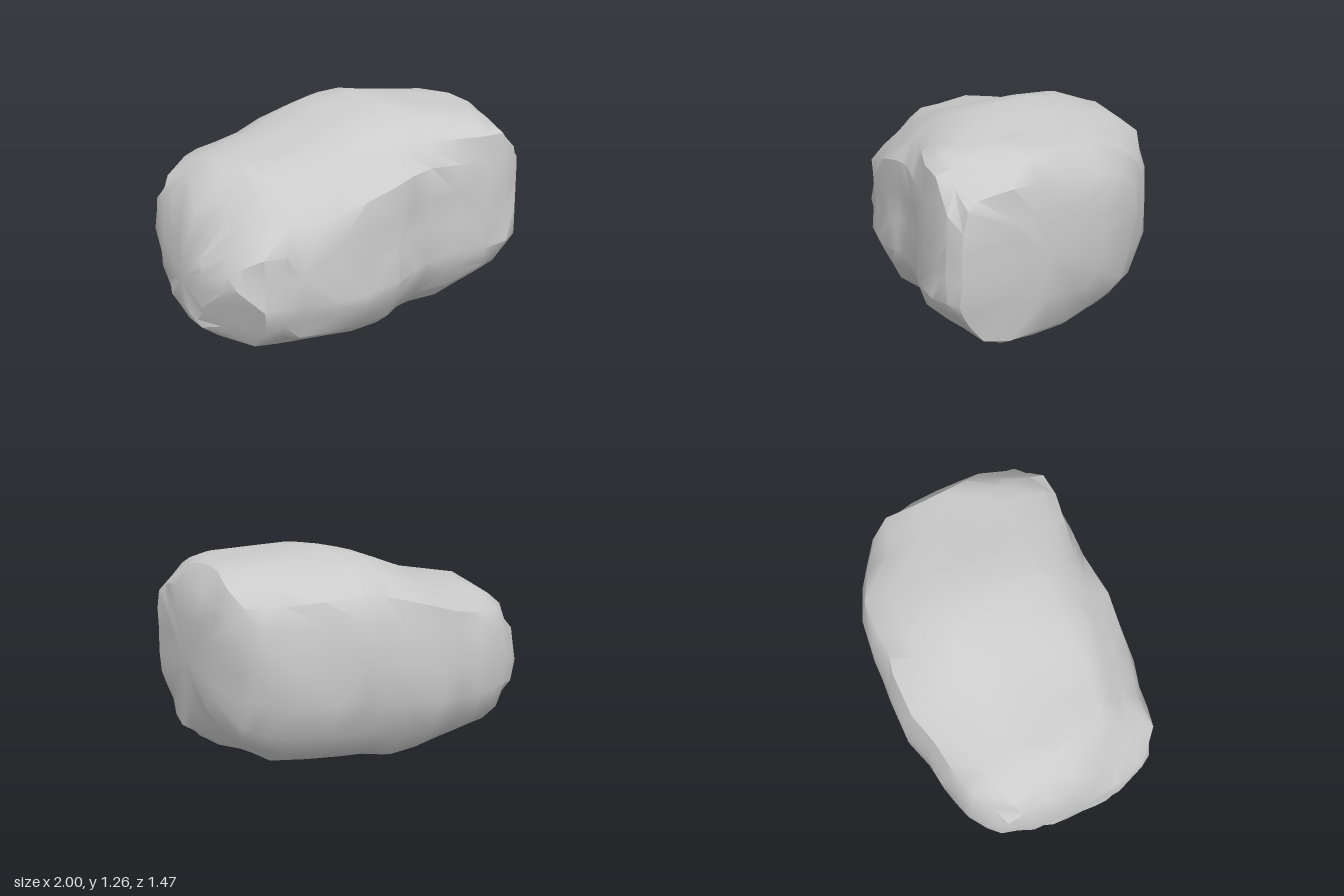
import * as THREE from 'three';
import { toCreasedNormals } from 'three/addons/utils/BufferGeometryUtils.js';

// Cross-sections along x: [x, bottom, top, back z, front z, lean of x with z, lean of x with y]
const STATIONS = [
  [-0.99, 0.18, 0.55, -0.25, 0.33, 0, 0.04],
  [-0.965, 0.12, 0.78, -0.45, 0.53, 0, 0.07],
  [-0.89, 0.07, 0.88, -0.51, 0.6, 0, 0.04],
  [-0.77, 0.05, 0.98, -0.58, 0.65, 0, 0],
  [-0.66, 0.03, 1.0, -0.61, 0.67, 0, 0],
  [-0.54, 0.015, 1.02, -0.65, 0.69, 0, 0],
  [-0.38, 0.01, 1.05, -0.67, 0.73, 0, 0],
  [-0.2, 0, 1.12, -0.73, 0.73, 0, 0],
  [0, 0.005, 1.2, -0.73, 0.73, 0, 0],
  [0.12, 0.035, 1.23, -0.72, 0.7, 0, 0],
  [0.24, 0.05, 1.25, -0.72, 0.68, 0, 0],
  [0.45, 0.08, 1.23, -0.71, 0.69, 0, 0],
  [0.65, 0.09, 1.21, -0.63, 0.7, 0.01, 0],
  [0.79, 0.1, 1.2, -0.56, 0.68, 0.03, 0],
  [0.88, 0.11, 1.19, -0.51, 0.65, 0.07, 0.02],
  [0.94, 0.16, 1.06, -0.47, 0.59, 0.08, 0.05],
  [0.965, 0.38, 0.88, -0.22, 0.32, 0.07, 0.04],
];

// Boxy outline of a section, [z, y] in -1..1, running front, top, back, bottom
const OUTLINE = [
  [1, -0.42], [0.96, -0.1], [0.97, 0.2], [0.96, 0.5], [0.92, 0.77], [0.82, 0.88],
  [0.66, 0.92], [0.45, 0.95], [0.2, 0.97], [-0.1, 1], [-0.4, 0.98], [-0.7, 0.88],
  [-0.9, 0.7], [-0.97, 0.45], [-1, 0.1], [-1, -0.25], [-0.9, -0.6], [-0.74, -0.86],
  [-0.55, -0.96], [-0.2, -0.97], [0.15, -0.96], [0.45, -1], [0.74, -0.98],
  [0.88, -0.81], [0.95, -0.62],
];

// Diagonal profiles that trim the corners: across and up directions, then
// convex outlines [across, up] about the middle of the rock
const MIDDLE = new THREE.Vector3(0, 0.62, 0);
const PROFILES = [
  [[0.707, 0, -0.707], [-0.242, 0.94, -0.242], [
    [-1.055, -0.05], [-1.055, -0.26], [-0.957, -0.43], [-0.325, -0.742], [0.479, -0.822],
    [0.871, -0.387], [0.939, 0.07], [0.902, 0.411], [0.626, 0.577], [0.104, 0.638],
    [-0.509, 0.577], [-0.663, 0.442]]],
  [[-0.707, 0, 0.707], [0.242, 0.94, 0.242], [
    [1.055, -0.08], [1.055, -0.2], [0.865, -0.656], [0.362, -0.767], [-0.454, -0.632],
    [-0.92, -0.264], [-0.939, 0.442], [-0.834, 0.687], [-0.528, 0.773], [-0.178, 0.822],
    [-0.086, 0.81], [0.362, 0.54]]],
  [[-0.707, 0, -0.707], [0.242, 0.94, -0.242], [
    [-1.086, 0.393], [-0.607, 0.828], [-0.239, 0.853], [0.129, 0.779], [0.344, 0.687],
    [0.6, 0.472], [0.92, 0.147], [1, -0.294], [0.681, -0.785], [0.509, -0.865],
    [0.19, -0.865], [-0.331, -0.755], [-0.975, -0.294], [-1.098, -0.11]]],
];

// Each profile edge becomes a flat cut {normal, distance from the middle}
const CUTS = PROFILES.flatMap(([across, up, outline]) => outline.map(([a, b], i) => {
  const [c, d] = outline[(i + 1) % outline.length];
  const normal = new THREE.Vector3(...across).multiplyScalar(d - b)
    .addScaledVector(new THREE.Vector3(...up), a - c).normalize();
  const distance = (a * (d - b) + b * (a - c)) / Math.hypot(d - b, a - c);
  return { normal: normal.multiplyScalar(Math.sign(distance)), distance: Math.abs(distance) };
}));

// Shallow chips: [x, y, z, radius, depth]
const CHIPS = [
  [0.4, 0.32, 0.72, 0.22, 0.03], [-0.6, 0.3, 0.72, 0.2, 0.015],
  [0.2, 0.05, 0.55, 0.25, 0.02], [0.3, 0.15, -0.55, 0.28, 0.02],
];

// Seeded value in -1..1
function hash(i, j) {
  const s = Math.sin(i * 127.1 + j * 311.7) * 43758.5453;
  return (s - Math.floor(s)) * 2 - 1;
}

// Pull a point towards the middle until it is inside every cut
function trim(p) {
  p.sub(MIDDLE);
  let scale = 1;
  for (const { normal, distance } of CUTS) {
    const reach = normal.dot(p);
    if (reach > distance) scale = Math.min(scale, distance / reach);
  }
  return p.multiplyScalar(scale).add(MIDDLE);
}

function rockGeometry() {
  const n = OUTLINE.length, rows = STATIONS.length;
  const positions = [], index = [];
  STATIONS.forEach(([x, y0, y1, z0, z1, leanZ, leanY], i) => {
    const inner = i > 1 && i < rows - 2;
    OUTLINE.forEach(([u, v], j) => {
      const z = (z0 + z1) / 2 + u * (z1 - z0) / 2;
      const y = (y0 + y1) / 2 + v * (y1 - y0) / 2;
      const p = new THREE.Vector3(x + leanZ * z + leanY * (y - 0.5), y, z);
      // Uneven surface: small bumps, chips, jitter along the length
      const inward = MIDDLE.clone().setX(x * 0.7).sub(p).normalize();
      let push = 0.01 * hash(i, j);
      for (const [cx, cy, cz, r, depth] of CHIPS) {
        const d = p.distanceTo(new THREE.Vector3(cx, cy, cz)) / r;
        if (d < 1) push += depth * (1 - d);
      }
      if (inner) p.x += 0.025 * hash(j, i + 40);
      else push *= 0.4;
      trim(p.addScaledVector(inward, push));
      positions.push(p.x, Math.max(0, p.y), p.z);
    });
  });
  // Side faces, with alternating diagonals for irregular facets
  for (let i = 0; i < rows - 1; i++) {
    for (let j = 0; j < n; j++) {
      const k = (j + 1) % n;
      const a = i * n + j, b = i * n + k, c = a + n, d = b + n;
      if (hash(i + 9, j) > 0) index.push(a, c, b, b, c, d);
      else index.push(a, c, d, a, d, b);
    }
  }
  // End caps
  const left = positions.length / 3;
  positions.push(-1, 0.34, 0.03, 0.99, 0.64, 0.08);
  const last = (rows - 1) * n;
  for (let j = 0; j < n; j++) {
    const k = (j + 1) % n;
    index.push(left, j, k, left + 1, last + k, last + j);
  }
  const g = new THREE.BufferGeometry();
  g.setAttribute('position', new THREE.Float32BufferAttribute(positions, 3));
  g.setIndex(index);
  return toCreasedNormals(g, 0.6);
}

export function createModel() {
  const group = new THREE.Group();
  group.name = 'boulder';
  const rock = new THREE.Mesh(
    rockGeometry(),
    new THREE.MeshStandardMaterial({ color: 0xcccccc })
  );
  rock.name = 'rock';
  group.add(rock);
  return group;
}
